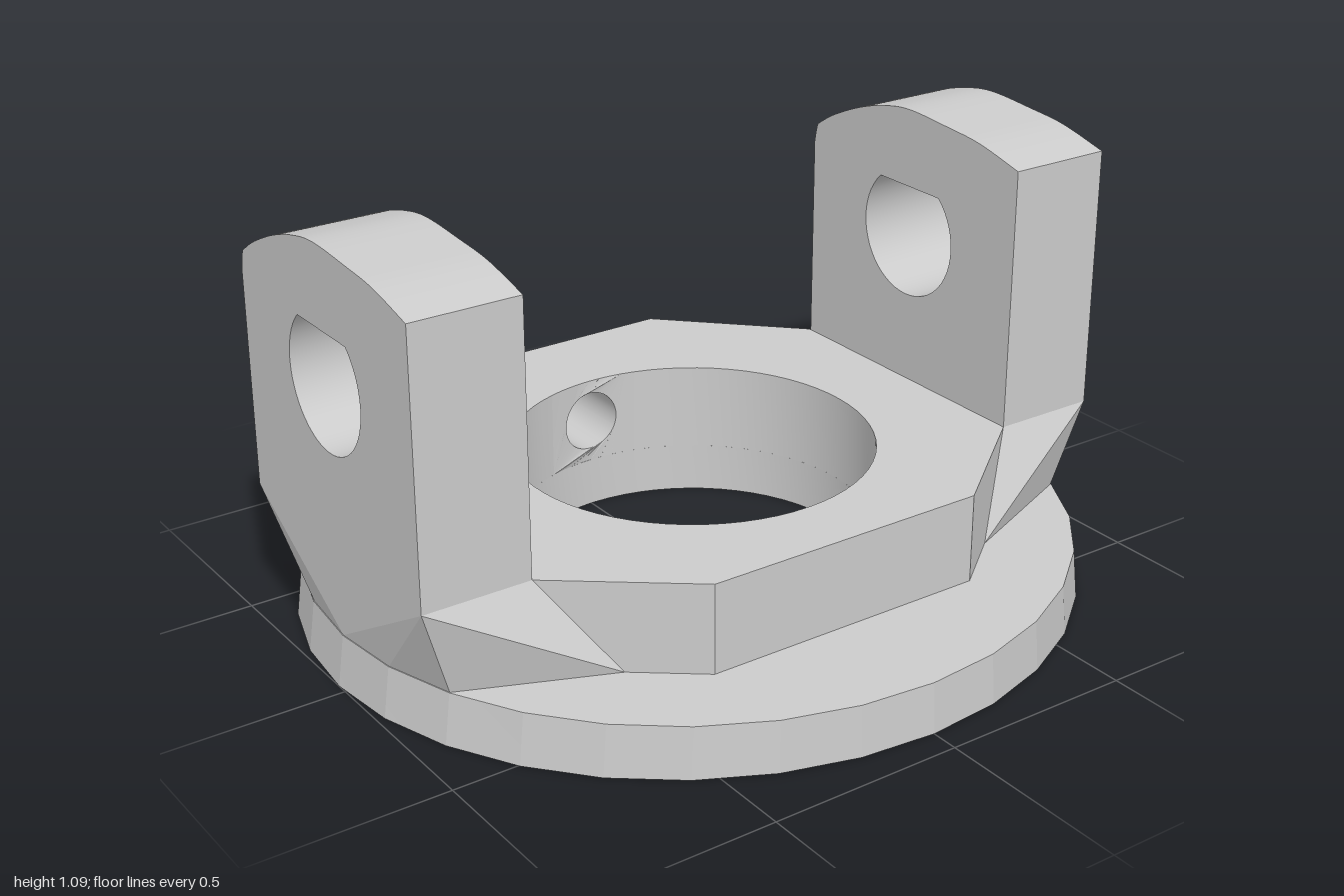
import * as THREE from 'three';
import { toCreasedNormals } from 'three/addons/utils/BufferGeometryUtils.js';
import { ConvexGeometry } from 'three/addons/geometries/ConvexGeometry.js';

const FLOOR = 0.13, DECK = 0.36;           // top of flange, top of collar
const BORE = { x: 0.01, z: -0.03, r: 0.46 };

const vec = (pts) => pts.map(([x, y]) => new THREE.Vector2(x, y));

// Extrude a plan outline given as [x, z] pairs upwards from y0 to y1
function plan(pts, y0, y1, hole) {
  const shape = new THREE.Shape(vec(pts.map(([x, z]) => [x, -z])));
  if (hole) shape.holes.push(hole);
  const geo = new THREE.ExtrudeGeometry(shape, { depth: y1 - y0, bevelEnabled: false, curveSegments: 32 });
  return geo.rotateX(-Math.PI / 2).translate(0, y0, 0);
}

export function createModel() {
  const group = new THREE.Group();
  const material = new THREE.MeshStandardMaterial({ color: 0xcccccc });
  const add = (name, geo, crease = true) => {
    const mesh = new THREE.Mesh(crease ? toCreasedNormals(geo, 0.15) : geo, material);
    mesh.name = name;
    group.add(mesh);
  };

  // Base flange: faceted, slightly tapered disc with a rounded notch at the back
  const rim = [];
  for (let i = 2; i <= 30; i++) {
    const a = (i / 32) * Math.PI * 2;
    rim.push([Math.sin(a), -0.03 - 0.96 * Math.cos(a)]);
  }
  const notch = [[-0.225, -0.938], [-0.17, -0.85], [-0.13, -0.81], [-0.065, -0.785], [0, -0.777]];
  const notchRight = notch.slice(0, 4).reverse().map(([x, z]) => [-x, z]);
  const boreHole = new THREE.Path().absarc(BORE.x, -BORE.z, BORE.r, 0, Math.PI * 2);
  const flange = plan([...rim, ...notch, ...notchRight], 0, FLOOR, boreHole);
  const fp = flange.attributes.position;
  for (let i = 0; i < fp.count; i++) {
    const x = fp.getX(i), z = fp.getZ(i);
    if (fp.getY(i) > 0.1 && Math.hypot(x, z) > 0.86) {
      fp.setX(i, x * 0.982);
      fp.setZ(i, z * 0.992);
    }
  }
  add('baseFlange', flange);

  // Octagonal collar, left open at the back for the cross-drilled block
  const half = 0.13;
  const collar = [[-half, -0.76], [-0.38, -0.76], [-0.7, -0.44], [-0.7, 0.36], [-0.38, 0.61],
    [0.38, 0.61], [0.7, 0.36], [0.7, -0.44], [0.38, -0.76], [half, -0.76]];
  const a0 = Math.asin((half - BORE.x) / BORE.r);
  const a1 = Math.PI * 2 + Math.asin((-half - BORE.x) / BORE.r);
  for (let i = 0; i <= 60; i++) {
    const a = a0 + ((a1 - a0) * i) / 60;
    collar.push([BORE.x + BORE.r * Math.sin(a), BORE.z - BORE.r * Math.cos(a)]);
  }
  add('octagonalCollar', plan(collar, FLOOR, DECK));

  // Back block with a round cross hole; its inner face follows the bore
  const block = [];
  for (let i = 0; i <= 8; i++) block.push([-half + (2 * half * i) / 8, FLOOR]);
  for (let i = 8; i >= 0; i--) block.push([-half + (2 * half * i) / 8, DECK]);
  const blockShape = new THREE.Shape(vec(block));
  blockShape.holes.push(new THREE.Path().absarc(0, 0.245, 0.08, 0, Math.PI * 2));
  const drilled = new THREE.ExtrudeGeometry(blockShape, { depth: 1, bevelEnabled: false, curveSegments: 24 });
  const dp = drilled.attributes.position;
  for (let i = 0; i < dp.count; i++) {
    const dx = dp.getX(i) - BORE.x;
    dp.setZ(i, dp.getZ(i) < 0.5 ? -0.76 : BORE.z - Math.sqrt(BORE.r ** 2 - dx * dx));
  }
  add('drilledBackBlock', drilled);

  // Lug profile (horizontal axis is -z) with a teardrop pin hole
  const lug = new THREE.Shape();
  lug.moveTo(-0.36, DECK);
  lug.lineTo(0.435, DECK);
  lug.lineTo(0.435, 0.91);
  lug.splineThru(vec([[0.425, 0.955], [0.41, 0.97], [0.35, 1.006], [0.25, 1.05], [0.15, 1.08],
    [0.05, 1.094], [-0.1, 1.085], [-0.22, 1.073], [-0.36, 1.04]]));
  lug.closePath();
  const pin = new THREE.Path();
  const t = Math.PI / 2 - Math.acos(0.17 / 0.23);
  pin.moveTo(0.04, 0.995);
  pin.absarc(0.04, 0.765, 0.17, Math.PI - t, Math.PI * 2 + t, false);
  pin.closePath();
  lug.holes.push(pin);

  for (const [side, s] of [['left', 1], ['right', -1]]) {
    const geo = new THREE.ExtrudeGeometry(lug, { depth: 0.28, bevelEnabled: false, curveSegments: 20 });
    geo.rotateY(Math.PI / 2).translate(s > 0 ? 0.7 : -0.98, 0, 0);
    add(side + 'Lug', geo);

    // Faceted foot blending the lug into the collar and the flange rim
    const foot = [[0.7, DECK, 0.36], [0.98, DECK, 0.36], [0.98, DECK, -0.435], [0.7, DECK, -0.435],
      [0.54, FLOOR, 0.485], [0.6, FLOOR, -0.35], [0.69, FLOOR, -0.445], [0.895, FLOOR, -0.42]];
    for (let i = -2; i <= 2; i++) {
      const a = (i / 16) * Math.PI;
      foot.push([0.98 * Math.cos(a), FLOOR, -0.03 + 0.95 * Math.sin(a)]);
    }
    add(side + 'LugFoot', new ConvexGeometry(foot.map(([x, y, z]) => new THREE.Vector3(s * x, y, z))), false);
  }
  return group;
}
